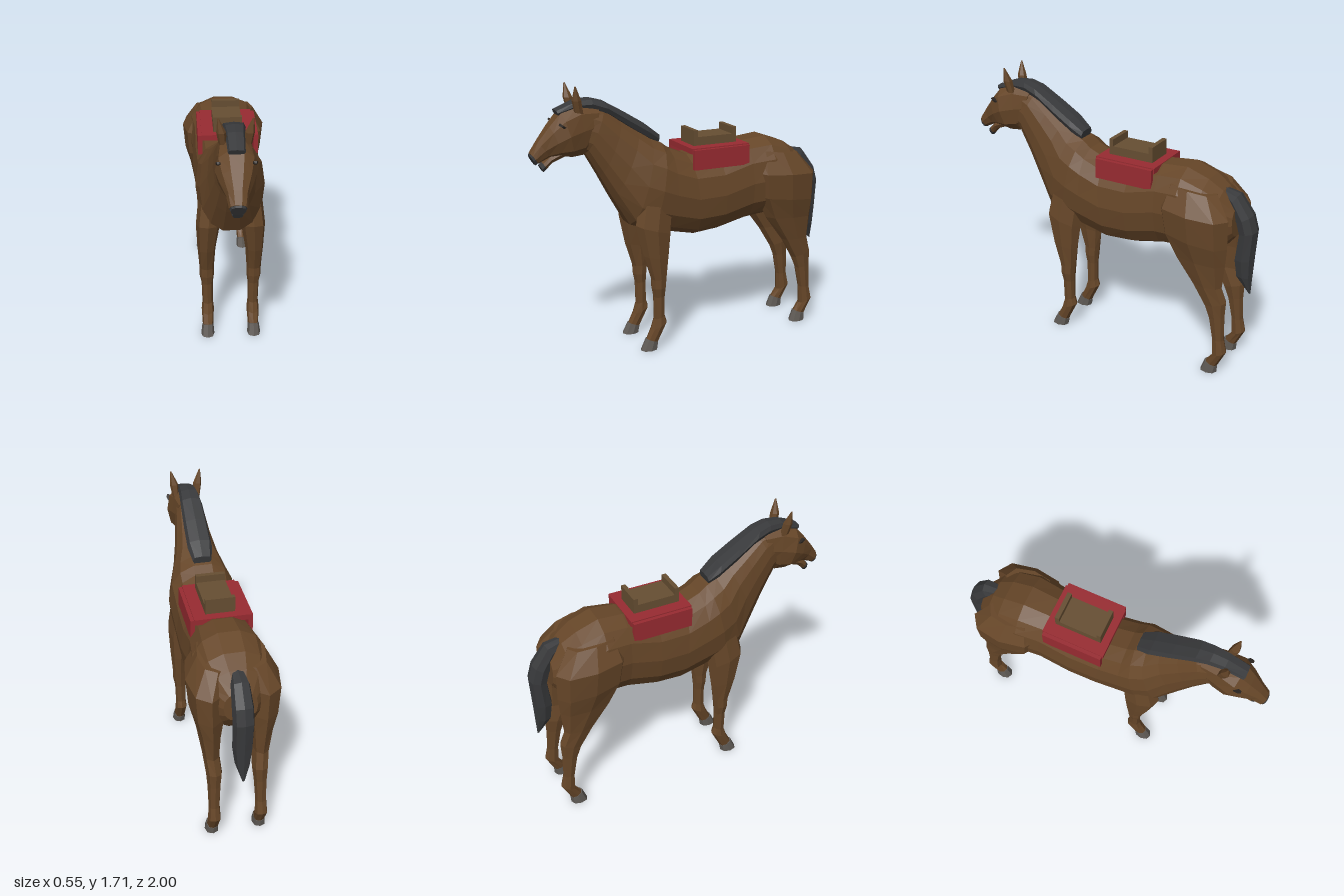
import * as THREE from 'three';

const mat = (name, color) => {
  const m = new THREE.MeshStandardMaterial({ color });
  m.name = name;
  return m;
};

// Faceted loft. Each section is [zA, yA, zB, yB, halfWidth, xCentre]:
// A and B are opposite ends of the ring in the side plane.
function loft(sections, n, side = 1, power = 0.85) {
  const pos = [], idx = [];
  const soft = v => Math.sign(v) * Math.pow(Math.abs(v), power);
  for (const [za, ya, zb, yb, w, x = 0] of sections) {
    for (let i = 0; i < n; i++) {
      const t = (i / n) * Math.PI * 2 + (n === 4 ? Math.PI / 4 : 0);
      const c = n === 4 ? Math.sign(Math.cos(t)) : soft(Math.cos(t));
      const s = n === 4 ? Math.sign(Math.sin(t)) : soft(Math.sin(t));
      pos.push(side * (x + c * w), (ya + yb) / 2 + s * (ya - yb) / 2, (za + zb) / 2 + s * (za - zb) / 2);
    }
  }
  const last = (sections.length - 1) * n;
  for (let r = 0; r < last; r += n) {
    for (let i = 0; i < n; i++) {
      const a = r + i, b = r + (i + 1) % n;
      idx.push(a, b, a + n, b, b + n, a + n);
    }
  }
  for (let i = 1; i < n - 1; i++) idx.push(0, i + 1, i, last, last + i, last + i + 1);
  // Turn all faces outward, using the enclosed volume's sign
  const p = i => new THREE.Vector3().fromArray(pos, i * 3);
  let volume = 0;
  for (let i = 0; i < idx.length; i += 3) volume += p(idx[i]).dot(p(idx[i + 1]).cross(p(idx[i + 2])));
  if (volume < 0) idx.reverse();
  const g = new THREE.BufferGeometry();
  g.setAttribute('position', new THREE.Float32BufferAttribute(pos, 3));
  g.setIndex(idx);
  const flat = g.toNonIndexed();
  flat.computeVertexNormals();
  return flat;
}

export function createModel() {
  const coat = mat('coat brown', 0x664628);
  const hair = mat('hair charcoal', 0x38393b);
  const hoofMat = mat('hoof grey', 0x5e5954);
  const red = mat('blanket red', 0x982b31);
  const leather = mat('saddle leather', 0x664e32);
  const eyeMat = mat('eye dark', 0x2c2622);

  const model = new THREE.Group();
  model.name = 'saddledHorse';
  const add = (name, geometry, material, parent = model) => {
    const m = new THREE.Mesh(geometry, material);
    m.name = name;
    parent.add(m);
    return m;
  };
  const box = (name, w, h, d, x, y, z, material, parent) =>
    add(name, new THREE.BoxGeometry(w, h, d), material, parent).position.set(x, y, z);

  // Torso and neck, rump to poll
  add('bodyAndNeck', loft([
    [-0.87, 1.09, -0.88, 0.90, 0.10],
    [-0.79, 1.19, -0.80, 0.80, 0.18],
    [-0.70, 1.25, -0.70, 0.78, 0.225],
    [-0.56, 1.30, -0.56, 0.77, 0.235],
    [-0.40, 1.285, -0.42, 0.755, 0.215],
    [-0.20, 1.23, -0.22, 0.71, 0.217],
    [0.00, 1.23, -0.05, 0.695, 0.21],
    [0.12, 1.28, 0.13, 0.735, 0.21],
    [0.17, 1.32, 0.27, 0.77, 0.213],
    [0.24, 1.35, 0.39, 0.81, 0.19],
    [0.32, 1.40, 0.50, 1.00, 0.145],
    [0.43, 1.47, 0.575, 1.14, 0.117],
    [0.54, 1.55, 0.66, 1.29, 0.098],
    [0.62, 1.58, 0.70, 1.31, 0.085],
  ], 14), coat);

  // Head
  const head = new THREE.Group();
  head.name = 'head';
  model.add(head);
  add('skull', loft([
    [0.57, 1.58, 0.62, 1.33, 0.085],
    [0.70, 1.595, 0.67, 1.28, 0.10],
    [0.81, 1.555, 0.74, 1.275, 0.117],
    [0.88, 1.475, 0.81, 1.285, 0.095],
    [0.95, 1.385, 0.88, 1.285, 0.062],
    [0.995, 1.32, 0.95, 1.255, 0.05],
  ], 10), coat, head);
  add('noseTip', loft([
    [0.995, 1.318, 0.95, 1.257, 0.048],
    [1.0, 1.308, 0.965, 1.245, 0.042],
  ], 10), hair, head);
  add('lowerJaw', loft([
    [0.80, 1.34, 0.79, 1.28, 0.055],
    [0.88, 1.30, 0.865, 1.25, 0.045],
    [0.925, 1.26, 0.90, 1.215, 0.038],
  ], 8), coat, head);
  add('chin', loft([
    [0.925, 1.26, 0.90, 1.215, 0.038],
    [0.942, 1.242, 0.915, 1.197, 0.03],
  ], 8), hair, head);

  // Mane with forelock
  add('mane', loft([
    [0.18, 1.37, 0.19, 1.31, 0.06],
    [0.27, 1.44, 0.25, 1.345, 0.078],
    [0.40, 1.52, 0.37, 1.42, 0.076],
    [0.54, 1.60, 0.50, 1.51, 0.07],
    [0.62, 1.622, 0.60, 1.55, 0.062],
    [0.71, 1.615, 0.69, 1.555, 0.054],
    [0.835, 1.565, 0.82, 1.53, 0.048],
  ], 8, 1, 0.6), hair);

  // Tail, root to tip
  add('tail', loft([
    [-0.78, 1.19, -0.80, 1.12, 0.04],
    [-0.88, 1.17, -0.82, 1.08, 0.055],
    [-0.97, 1.05, -0.87, 0.99, 0.063],
    [-1.0, 0.95, -0.89, 0.92, 0.063],
    [-0.99, 0.76, -0.87, 0.75, 0.06],
    [-0.985, 0.64, -0.885, 0.64, 0.045],
    [-0.98, 0.525, -0.965, 0.535, 0.008],
  ], 8, 1, 0.75), hair);

  // Paired parts
  for (const [label, s] of [['left', 1], ['right', -1]]) {
    add(label + 'Ear', loft([
      [0.735, 1.55, 0.68, 1.54, 0.022, 0.07],
      [0.75, 1.62, 0.695, 1.62, 0.027, 0.078],
      [0.738, 1.705, 0.73, 1.705, 0.004, 0.095],
    ], 6, s), coat, head);
    add(label + 'Eye', loft([
      [0.835, 1.50, 0.795, 1.47, 0.014, 0.1],
      [0.845, 1.49, 0.81, 1.465, 0.012, 0.1],
    ], 6, s), eyeMat, head);

    add(label + 'ForeLeg', loft([
      [0.34, 1.05, 0.12, 1.00, 0.07, 0.12],
      [0.385, 0.83, 0.15, 0.76, 0.075, 0.14],
      [0.34, 0.63, 0.17, 0.60, 0.056, 0.15],
      [0.29, 0.47, 0.188, 0.47, 0.046, 0.15],
      [0.287, 0.41, 0.195, 0.41, 0.046, 0.15],
      [0.275, 0.35, 0.20, 0.35, 0.036, 0.148],
      [0.272, 0.20, 0.20, 0.22, 0.034, 0.146],
      [0.295, 0.13, 0.185, 0.175, 0.04, 0.146],
      [0.325, 0.07, 0.25, 0.045, 0.034, 0.147],
    ], 8, s), coat);
    add(label + 'ForeHoof', loft([
      [0.33, 0.075, 0.247, 0.045, 0.036, 0.148],
      [0.365, 0, 0.255, 0, 0.043, 0.15],
    ], 8, s), hoofMat);

    add(label + 'HindLeg', loft([
      [-0.47, 1.22, -0.78, 1.18, 0.09, 0.11],
      [-0.43, 1.08, -0.88, 1.05, 0.11, 0.165],
      [-0.455, 0.92, -0.88, 0.87, 0.10, 0.16],
      [-0.53, 0.77, -0.87, 0.75, 0.07, 0.155],
      [-0.66, 0.60, -0.855, 0.60, 0.05, 0.15],
      [-0.745, 0.46, -0.885, 0.50, 0.048, 0.14],
      [-0.78, 0.38, -0.88, 0.40, 0.04, 0.142],
      [-0.81, 0.24, -0.885, 0.24, 0.034, 0.145],
      [-0.815, 0.12, -0.905, 0.155, 0.04, 0.146],
      [-0.775, 0.07, -0.85, 0.045, 0.034, 0.147],
    ], 8, s), coat);
    add(label + 'HindHoof', loft([
      [-0.77, 0.075, -0.853, 0.045, 0.036, 0.148],
      [-0.742, 0, -0.85, 0, 0.043, 0.15],
    ], 8, s), hoofMat);
  }

  // Saddle: blanket top, side flaps, seat and end boards
  const saddle = new THREE.Group();
  saddle.name = 'saddle';
  model.add(saddle);
  box('blanketTop', 0.33, 0.035, 0.4, 0, 1.262, -0.188, red, saddle);
  for (const s of [1, -1]) box('blanketFlap', 0.028, 0.125, 0.385, s * 0.174, 1.21, -0.188, red, saddle);
  box('seat', 0.18, 0.06, 0.27, 0, 1.303, -0.187, leather, saddle);
  for (const z of [-0.05, -0.322]) box('saddleEndBoard', 0.18, 0.1, 0.028, 0, 1.327, z, leather, saddle);

  return model;
}
